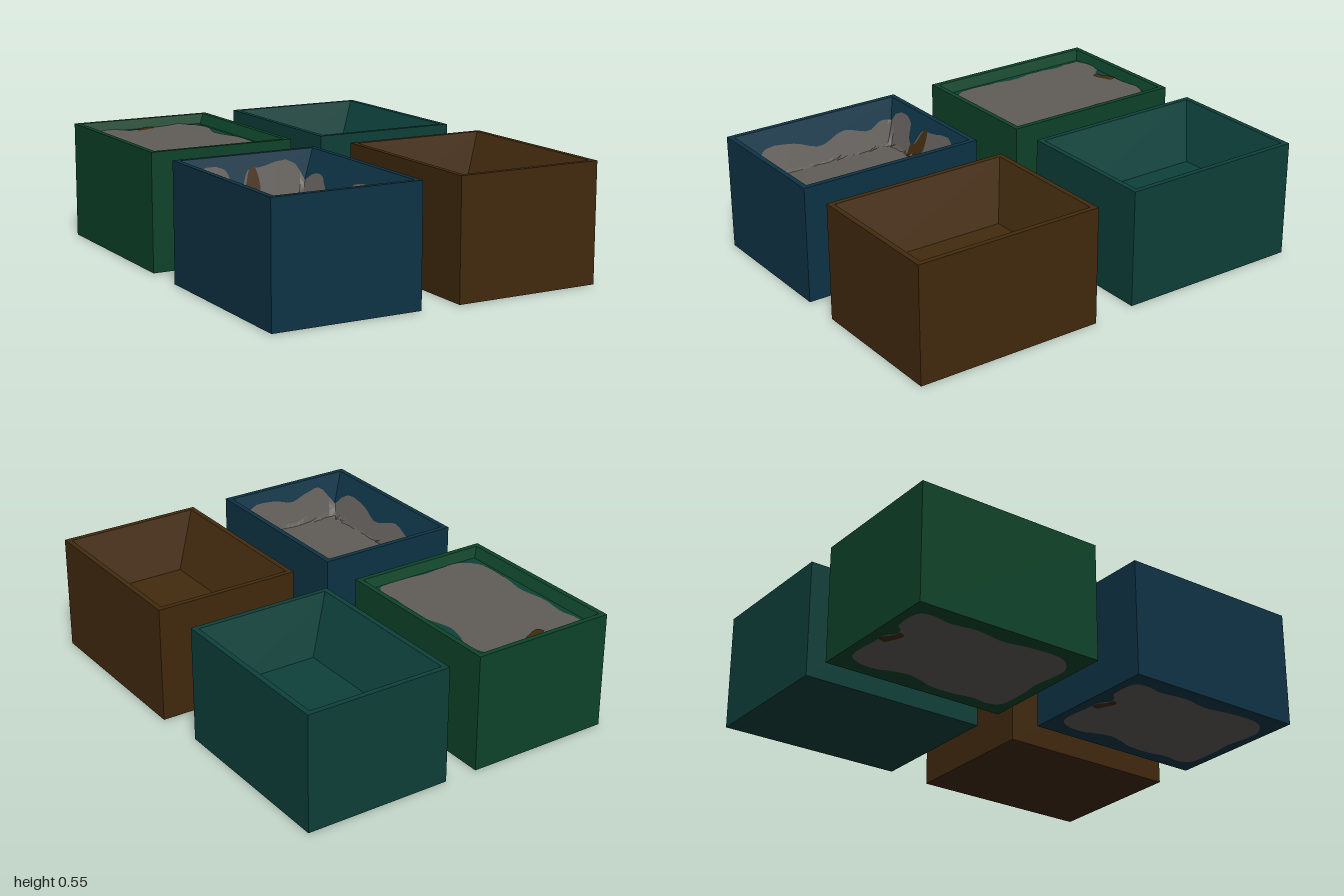
import * as THREE from 'three';

const HX = 0.346, HZ = 0.445, TOP = 0.546, RIM = 0.025;
const DEPTH = 0.245, TAPER_X = 0.13, TAPER_Z = 0.10, LIFT = 0.003;

const mat = (name, color) => {
  const m = new THREE.MeshStandardMaterial({ color });
  m.name = name;
  return m;
};

// Wavy outline of the fill, as local x, z pairs
const FILL = [[.22, -.395], [.265, -.33], [.27, -.24], [.255, -.2], [.235, -.11], [.25, -.04],
  [.275, .03], [.28, .15], [.265, .25], [.275, .33], [.25, .385], [.1, .395], [0, .385],
  [-.1, .395], [-.19, .395], [-.27, .32], [-.275, .15], [-.255, .02], [-.275, -.12],
  [-.26, -.25], [-.275, -.33], [-.26, -.39], [-.12, -.395], [-.1, -.37], [-.06, -.36],
  [-.02, -.39], [.05, -.395]];
const SPOT = [[-.075, -.355], [-.04, -.365], [-.01, -.39], [.02, -.395], [.03, -.36],
  [0, -.345], [-.02, -.335], [-.06, -.325]];
const BORDER = [[.28, -.4], [.28, .4], [-.28, .4], [-.28, -.4]];

function geometry(positions) {
  const g = new THREE.BufferGeometry();
  g.setAttribute('position', new THREE.Float32BufferAttribute(positions, 3));
  g.computeVertexNormals();
  return g;
}

// Open box with a rim and a cavity that narrows down to its floor
function boxGeometry(floor) {
  const t = (TOP - floor) / DEPTH;
  const ring = (ix, iz, y) => [[1, 1], [1, -1], [-1, -1], [-1, 1]]
    .map(([sx, sz]) => [sx * (HX - ix), y, sz * (HZ - iz)]);
  const rings = [ring(0, 0, LIFT), ring(0, 0, TOP), ring(RIM, RIM, TOP),
    ring(RIM + TAPER_X * t, RIM + TAPER_Z * t, floor)];
  const p = [];
  const quad = (a, b, c, d) => p.push(...a, ...b, ...c, ...a, ...c, ...d);
  for (let r = 0; r < 3; r++) {
    for (let i = 0; i < 4; i++) {
      const j = (i + 1) % 4;
      quad(rings[r][i], rings[r][j], rings[r + 1][j], rings[r + 1][i]);
    }
  }
  quad(...rings[3]);
  quad(...rings[0].slice().reverse());
  return geometry(p);
}

// Height of the cavity surface at a local point
const cavity = floor => (x, z) => Math.max(floor,
  TOP - (HX - Math.abs(x) - RIM) / TAPER_X * DEPTH,
  TOP - (HZ - Math.abs(z) - RIM) / TAPER_Z * DEPTH);

// Thin skin spread from the middle of an outline and draped over a height rule
function skin(outline, height, down = false, smooth = true) {
  let pts = outline.map(([x, z]) => new THREE.Vector3(x, 0, z));
  if (smooth) pts = new THREE.CatmullRomCurve3(pts, true).getPoints(96).slice(0, -1);
  const mid = pts.reduce((s, v) => s.add(v), new THREE.Vector3()).divideScalar(pts.length);
  const rings = 32, p = [];
  const at = (r, i) => {
    const v = mid.clone().lerp(pts[i % pts.length], r / rings);
    return [v.x, height(v.x, v.z), v.z];
  };
  const tri = (a, b, c) => down ? p.push(...a, ...b, ...c) : p.push(...a, ...c, ...b);
  for (let r = 0; r < rings; r++) {
    for (let i = 0; i < pts.length; i++) {
      tri(at(r, i), at(r + 1, i), at(r + 1, i + 1));
      if (r) tri(at(r, i), at(r + 1, i + 1), at(r, i + 1));
    }
  }
  return geometry(p);
}

export function createModel() {
  const teal = mat('teal', 0x0e403a), brown = mat('brown', 0x422a0e);
  const blue = mat('blue', 0x0e3446), green = mat('green', 0x0e442a);
  const gray = mat('warm gray', 0x605c58);
  const model = new THREE.Group();
  model.name = 'openBoxes';

  const boxes = [
    { name: 'greenBox', x: -0.439, z: -0.555, floor: 0.50, material: green, filled: true, border: true },
    { name: 'tealBox', x: 0.409, z: -0.555, floor: 0.30, material: teal },
    { name: 'blueBox', x: -0.439, z: 0.555, floor: 0.35, material: blue, filled: true },
    { name: 'brownBox', x: 0.439, z: 0.555, floor: 0.30, material: brown },
  ];
  for (const b of boxes) {
    const group = new THREE.Group();
    group.name = b.name;
    group.position.set(b.x, 0, b.z);
    const add = (name, geo, material) => {
      const mesh = new THREE.Mesh(geo, material);
      mesh.name = name;
      group.add(mesh);
    };
    add('shell', boxGeometry(b.floor), b.material);
    if (b.filled) {
      const h = cavity(b.floor);
      const over = d => (x, z) => h(x, z) + d;
      if (b.border) add('fillBorder', skin(BORDER, over(0.002), false, false), teal);
      add('fill', skin(FILL, over(0.004)), gray);
      add('fillSpot', skin(SPOT, over(0.007)), brown);
      // Matching patch on the underside
      add('basePatch', skin(FILL, () => 0.0015, true), gray);
      add('baseSpot', skin(SPOT, () => 0, true), brown);
    }
    model.add(group);
  }
  return model;
}
